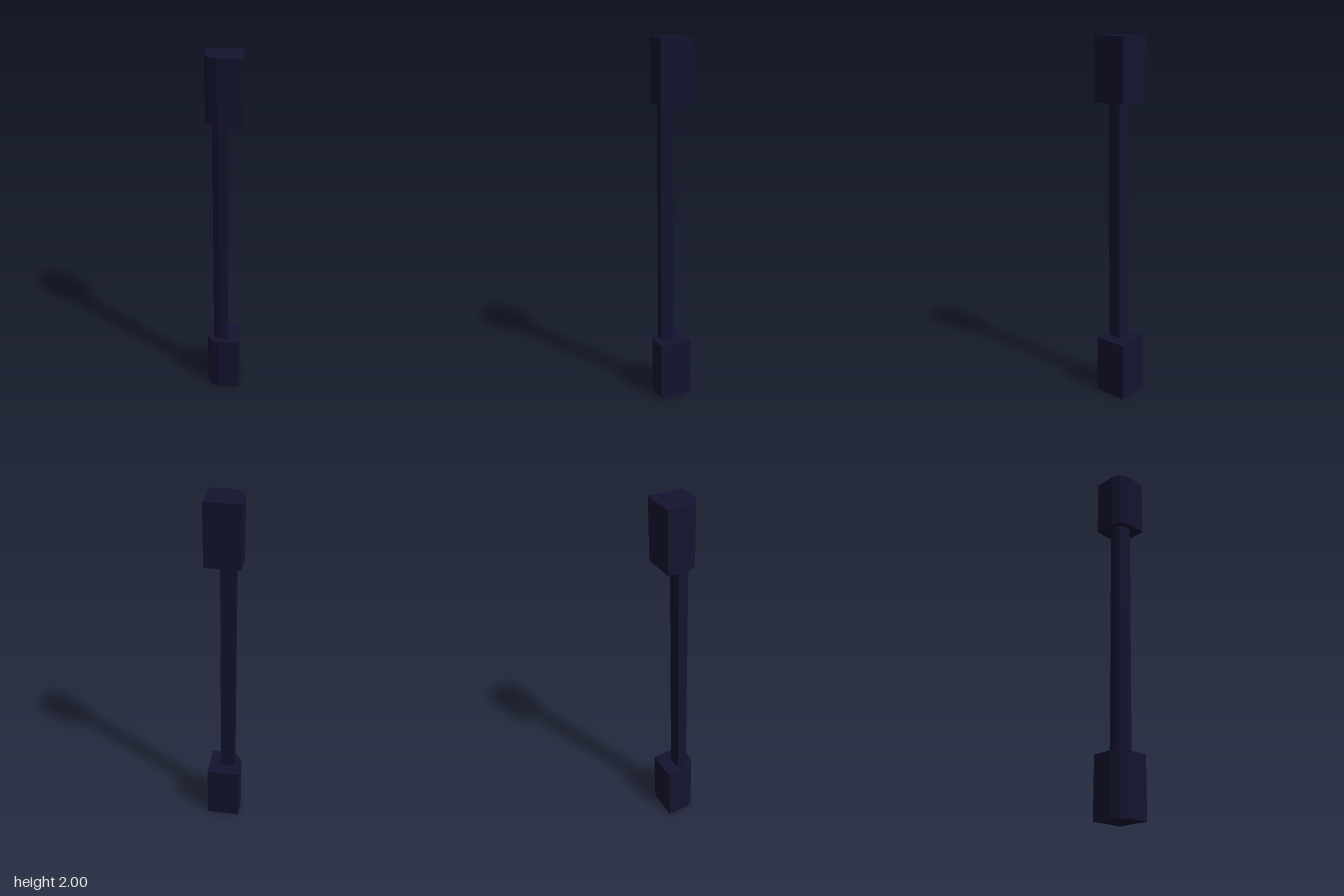
import * as THREE from 'three';

const material = new THREE.MeshStandardMaterial({ color: 0x13132f, flatShading: true });

// Upright square prism whose front corner on the -x side is cut by two facets
function cutPrism(name, [x0, x1], [z0, z1], [y0, y1], cut, inset) {
  const outline = [
    [x0, z0], [x0, z1 - cut], [x0 + inset, z1 - inset],
    [x0 + cut, z1], [x1, z1], [x1, z0],
  ].map(([x, z]) => new THREE.Vector2(x, -z));
  const geometry = new THREE.ExtrudeGeometry(new THREE.Shape(outline), {
    depth: y1 - y0, bevelEnabled: false,
  });
  geometry.rotateX(-Math.PI / 2);
  geometry.translate(0, y0, 0);
  const mesh = new THREE.Mesh(geometry, material);
  mesh.name = name;
  return mesh;
}

export function createModel() {
  const group = new THREE.Group();
  group.name = 'cornerPost';

  // Matching blocks at both ends
  const side = [-0.093, 0.093];
  group.add(cutPrism('bottomBlock', side, side, [0, 0.333], 0.066, 0.023));
  group.add(cutPrism('topBlock', side, side, [1.667, 2], 0.066, 0.023));

  // Slim shaft, set towards the cut corner
  group.add(cutPrism('shaft', [-0.057, 0.024], [-0.016, 0.058], [0.333, 1.667], 0.032, 0.011));

  return group;
}
